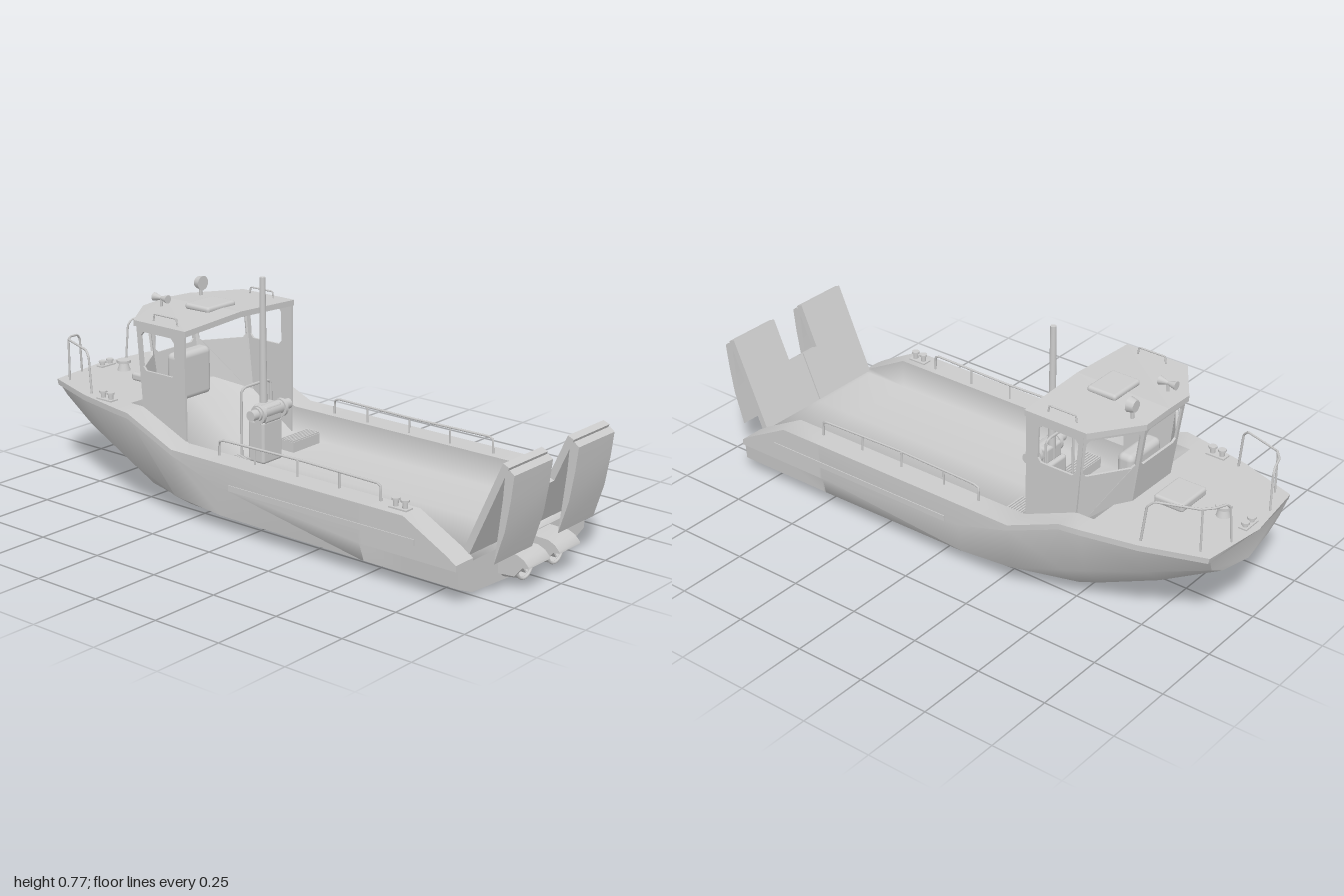
import * as THREE from 'three';
import { toCreasedNormals } from 'three/addons/utils/BufferGeometryUtils.js';
import { RoundedBoxGeometry } from 'three/addons/geometries/RoundedBoxGeometry.js';

const mat = new THREE.MeshStandardMaterial({ color: 0xcccccc, side: THREE.DoubleSide });
const V = (x, y, z) => new THREE.Vector3(x, y, z);

export function createModel() {
  const root = new THREE.Group();
  const add = (name, geo, x = 0, y = 0, z = 0) => {
    const m = new THREE.Mesh(geo, mat);
    m.name = name;
    m.position.set(x, y, z);
    root.add(m);
    return m;
  };
  const box = (name, w, h, d, x, y, z) => add(name, new THREE.BoxGeometry(w, h, d), x, y, z);
  const soft = (name, w, h, d, x, y, z, r = 0.01) => add(name, new RoundedBoxGeometry(w, h, d, 3, r), x, y, z);
  const post = (name, r0, r1, h, x, y, z, n = 16) => add(name, new THREE.CylinderGeometry(r1, r0, h, n), x, y + h / 2, z);
  const shape = pts => new THREE.Shape(pts.map(p => new THREE.Vector2(...p)));
  const tube = (name, pts, r = 0.004) => {
    const path = new THREE.CurvePath();
    for (let i = 1; i < pts.length; i++) path.add(new THREE.LineCurve3(pts[i - 1], pts[i]));
    return add(name, new THREE.TubeGeometry(path, (pts.length - 1) * 8, r, 6));
  };
  // Side profile (z, y) swept across x, ending at xMax
  const sweep = (name, pts, width, xMax) => {
    const g = new THREE.ExtrudeGeometry(shape(pts), { depth: width, bevelEnabled: false }).rotateY(-Math.PI / 2);
    return add(name, toCreasedNormals(g, 0.7), xMax);
  };

  // Flat panel on four corners (seen from outside: bottom left, bottom right, top right, top left)
  const panel = (name, a, b, c, d, t, hole) => {
    const s = shape([[0, 0], [1, 0], [1, 1], [0, 1]]);
    if (hole) {
      const [u0, v0, u1, v1] = hole, k = 0.06, q = 0.03;
      s.holes.push(new THREE.Path([[u0 + k, v0], [u0, v0 + q], [u0, v1 - q], [u0 + k, v1], [u1 - k, v1], [u1, v1 - q],
        [u1, v0 + q], [u1 - k, v0]].map(p => new THREE.Vector2(...p))));
    }
    const g = new THREE.ExtrudeGeometry(s, { depth: 1, bevelEnabled: false });
    const n = b.clone().sub(a).cross(d.clone().sub(a)).normalize();
    const p = g.attributes.position;
    for (let i = 0; i < p.count; i++) {
      const u = p.getX(i), v = p.getY(i), w = p.getZ(i);
      const r = a.clone().lerp(b, u).lerp(d.clone().lerp(c, u), v).addScaledVector(n, t * (w - 1));
      p.setXYZ(i, r.x, r.y, r.z);
    }
    g.computeVertexNormals();
    return add(name, g);
  };

  // Hull stations: z, keel y, bottom chine x y, upper chine x y, step x y, gunwale x, deck y, well x, floor y
  const stations = [
    [0.86, 0.004, 0.27, 0.02, 0.34, 0.05, 0.345, 0.11, 0.355, 0.13, 0.268, 0.122],
    [0.82, 0.002, 0.27, 0.02, 0.34, 0.05, 0.345, 0.11, 0.355, 0.155, 0.268, 0.135],
    [0.66, 0, 0.27, 0.02, 0.34, 0.05, 0.345, 0.11, 0.355, 0.24, 0.268, 0.135],
    [0.5, 0, 0.27, 0.02, 0.34, 0.05, 0.345, 0.11, 0.355, 0.24, 0.268, 0.135],
    [0.49, 0, 0.27, 0.02, 0.34, 0.05, 0.352, 0.11, 0.355, 0.24, 0.268, 0.135],
    [-0.1, 0, 0.27, 0.022, 0.34, 0.055, 0.352, 0.16, 0.355, 0.24, 0.268, 0.135],
    [-0.3, 0, 0.265, 0.026, 0.34, 0.075, 0.35, 0.22, 0.355, 0.24, 0.268, 0.14],
    [-0.5, 0.005, 0.235, 0.045, 0.327, 0.14, 0.348, 0.305, 0.355, 0.325, 0.268, 0.275],
    [-0.57, 0.03, 0.22, 0.065, 0.315, 0.16, 0.335, 0.305, 0.343, 0.325, 0.266, 0.325],
    [-0.76, 0.095, 0.175, 0.13, 0.268, 0.21, 0.293, 0.305, 0.302, 0.325, 0.22, 0.325],
    [-0.97, 0.21, 0.13, 0.225, 0.195, 0.26, 0.22, 0.305, 0.23, 0.325, 0.15, 0.325],
  ];
  const bowZ = (x, y) => -0.94 - 0.03 * (1 - Math.abs(x) / 0.23) - 0.03 * (y - 0.21) / 0.115;
  const rings = stations.map(([z, k, ax, ay, bx, by, sx, sy, gx, dy, ix, fy], i) => {
    const half = [[ax, ay], [bx, by], [sx, sy], [gx, sy], [gx, dy], [ix, dy], [ix, fy]];
    const ring = [[0, k], ...half, [0, fy], ...half.map(([x, y]) => [-x, y]).reverse()];
    return ring.map(([x, y]) => V(x, y, i === stations.length - 1 ? bowZ(x, y) : z));
  });
  // Skin ring points j0..j1 between stations i0..i1
  const skin = (name, i0, i1, j0, j1, crease) => {
    const pos = [];
    for (let i = i0; i < i1; i++) {
      for (let j = j0; j < j1; j++) {
        const [r, q] = [rings[i], rings[i + 1]], a = j % r.length, b = (j + 1) % r.length;
        for (const p of [r[a], q[a], r[b], r[b], q[a], q[b]]) pos.push(p.x, p.y, p.z);
      }
    }
    const g = new THREE.BufferGeometry();
    g.setAttribute('position', new THREE.Float32BufferAttribute(pos, 3));
    add(name, toCreasedNormals(g, crease));
  };
  skin('cargoWell', 0, 8, 6, 10, 1.6);
  skin('foredeck', 8, 10, 6, 10, 0.5);
  skin('hull', 0, 10, 10, 22, 1.0);
  const cap = ring => new THREE.ShapeGeometry(shape(ring.map(p => [p.x, p.y])));
  add('transom', cap(rings[0]), 0, 0, 0.86);
  const bow = cap(rings.at(-1)), bp = bow.attributes.position;
  for (let i = 0; i < bp.count; i++) bp.setZ(i, bowZ(bp.getX(i), bp.getY(i)));
  bow.computeVertexNormals();
  add('bowPlate', bow);

  // Cabin walls, open at the rear; the sides run down into the well
  const low = [[0.272, -0.31], [0.272, -0.49], [0.105, -0.59], [-0.105, -0.59], [-0.272, -0.49], [-0.272, -0.31]];
  const high = [[0.272, -0.31], [0.272, -0.53], [0.11, -0.645], [-0.11, -0.645], [-0.272, -0.53], [-0.272, -0.31]];
  const windows = [[0.22, 0.92], [0.06, 0.94], [0.06, 0.94], [0.06, 0.94], [0.08, 0.78]];
  windows.forEach(([u0, u1], i) => {
    const [a, b, c, d] = [low[i], low[i + 1], high[i + 1], high[i]];
    const y0 = i % 4 ? 0.24 : 0.14, y1 = 0.613, v = y => (y - y0) / (y1 - y0);
    panel('cabinWall', V(a[0], y0, a[1]), V(b[0], y0, b[1]), V(c[0], y1, c[1]), V(d[0], y1, d[1]), 0.008,
      [u0, v(0.455), u1, v(0.588)]);
  });
  // Cambered roof in two halves
  for (const s of [1, -1]) {
    const outline = [[0, -0.305], [0.274, -0.305], [0.274, -0.54], [0.115, -0.652], [0, -0.655]];
    const g = new THREE.ExtrudeGeometry(shape(outline.map(([x, z]) => [s * x, -z])), { depth: 0.02, bevelEnabled: false });
    g.rotateX(-Math.PI / 2);
    const p = g.attributes.position;
    for (let i = 0; i < p.count; i++) {
      p.setY(i, p.getY(i) + 0.616 - 0.05 * Math.abs(p.getX(i)) - (p.getZ(i) < -0.6 ? 0.009 : 0));
    }
    g.computeVertexNormals();
    add('cabinRoof', g);
    tube('roofRail', [V(s * 0.24, 0.62, -0.37), V(s * 0.24, 0.647, -0.375), V(s * 0.24, 0.647, -0.475), V(s * 0.24, 0.62, -0.48)], 0.003);
  }
  soft('roofHatch', 0.14, 0.022, 0.11, 0, 0.636, -0.445);
  soft('console', 0.17, 0.17, 0.06, 0, 0.375, -0.55, 0.02);

  // Searchlight and horn on the roof
  add('searchlight', new THREE.CylinderGeometry(0.026, 0.02, 0.025, 10).rotateX(Math.PI / 2), 0.112, 0.668, -0.595);
  post('searchlightStand', 0.006, 0.006, 0.035, 0.112, 0.615, -0.595, 8);
  for (const s of [1, -1]) {
    add('horn', new THREE.CylinderGeometry(0.015, 0.006, 0.032, 12).rotateX(s * Math.PI / 2), -0.092, 0.654, -0.587 + s * 0.016);
  }
  post('hornStand', 0.005, 0.005, 0.03, -0.092, 0.622, -0.587, 8);

  // Winch, pedestal, mast and grated lockers
  soft('winchPedestal', 0.1, 0.15, 0.07, 0, 0.21, -0.2);
  const across = (name, r, w, x, y, z) => add(name, new THREE.CylinderGeometry(r, r, w, 20).rotateZ(Math.PI / 2), x, y, z);
  across('winchDrum', 0.024, 0.14, 0, 0.316, -0.18);
  for (const s of [1, -1]) {
    across('winchFlange', 0.032, 0.012, s * 0.055, 0.312, -0.18);
    across('winchHead', 0.018, 0.03, s * 0.082, 0.316, -0.18);
    box('deckLocker', 0.14, 0.04, 0.06, s * 0.18, 0.153, -0.2);
    for (let i = 0; i < 6; i++) box('lockerGrate', 0.14, 0.006, 0.005, s * 0.18, 0.175, -0.225 + i * 0.01);
  }
  soft('winchMotor', 0.085, 0.06, 0.06, 0, 0.308, -0.19);
  tube('winchGuard', [V(-0.075, 0.13, -0.24), V(-0.075, 0.385, -0.24), V(-0.06, 0.397, -0.24), V(0.06, 0.397, -0.24),
    V(0.075, 0.385, -0.24), V(0.075, 0.13, -0.24)], 0.005);
  post('mast', 0.014, 0.01, 0.49, 0, 0.28, -0.208);

  // Mirrored side fittings
  for (const s of [1, -1]) {
    const x = s * 0.295;
    tube('sideRail', [V(x, 0.24, 0.53), V(x, 0.288, 0.528), V(x, 0.295, 0.515), V(x - s * 0.01, 0.295, 0.2), V(x, 0.295, -0.12),
      V(x, 0.288, -0.138), V(x, 0.24, -0.14)]);
    for (const z of [0.36, 0.19, 0.01]) post('sideRailPost', 0.0035, 0.0035, 0.055, x - s * 0.006, 0.24, z, 6);
    tube('bowRail', [V(s * 0.275, 0.32, -0.75), V(s * 0.27, 0.45, -0.765), V(s * 0.262, 0.47, -0.785), V(s * 0.215, 0.473, -0.92),
      V(s * 0.18, 0.472, -0.95), V(s * 0.135, 0.467, -0.962), V(s * 0.12, 0.45, -0.966), V(s * 0.11, 0.32, -0.97)]);
    post('bowRailPost', 0.004, 0.004, 0.155, s * 0.212, 0.32, -0.925, 6);
    box('rubStrake', 0.01, 0.02, 0.75, s * 0.353, 0.165, 0.33);
  }

  // Bollards, capstan and foredeck hatch
  const bollard = (x, y, z, h) => {
    post('bollard', 0.009, 0.009, h, x, y, z, 12);
    post('bollardCap', 0.014, 0.014, 0.007, x, y + h, z, 12);
  };
  for (const d of [-0.018, 0.018]) {
    bollard(-0.29, 0.325, -0.66 + d, 0.022);
    bollard(-0.308, 0.24, 0.615 + d, 0.025);
    bollard(d, 0.325, -0.96, 0.014);
  }
  box('bollardBase', 0.035, 0.006, 0.07, -0.29, 0.327, -0.66);
  box('bollardBase', 0.035, 0.006, 0.07, -0.308, 0.242, 0.615);
  box('bollardBase', 0.07, 0.006, 0.03, 0, 0.327, -0.96);
  post('capstan', 0.024, 0.014, 0.03, 0, 0.325, -0.87);
  post('capstanHead', 0.026, 0.026, 0.01, 0, 0.353, -0.87);
  soft('foredeckHatch', 0.14, 0.03, 0.11, 0, 0.337, -0.71);

  // Raised stern ramp: notched inner leaf and a folded outer flap on each side
  const zr = y => 0.845 + (y - 0.135) * 0.445;
  const rampPart = (x0, x1, y0, y1) => panel('sternRamp', V(x0, y0, zr(y0)), V(x1, y0, zr(y0)), V(x1, y1, zr(y1)), V(x0, y1, zr(y1)), 0.024);
  const flap = [[0.936, 0.128], [0.972, 0.24], [0.99, 0.34], [1, 0.42], [0.982, 0.434], [0.968, 0.425], [0.962, 0.34], [0.95, 0.24]];
  const cowl = [[0.855, 0.078], [0.95, 0.08], [0.974, 0.083], [0.972, 0.09], [0.955, 0.107], [0.93, 0.118], [0.855, 0.12]];
  for (const s of [1, -1]) {
    const span = (a, b) => (s > 0 ? [a, b] : [-b, -a]);
    rampPart(...span(0.002, 0.27), 0.135, 0.295);
    rampPart(...span(0.07, 0.27), 0.295, 0.44);
    sweep('rampFlap', flap, 0.2, s > 0 ? 0.27 : -0.07);

    // Water jet with a sloping cowl
    const x = s * 0.083;
    add('jetNozzle', new THREE.CylinderGeometry(0.042, 0.052, 0.07, 20, 1, true).rotateX(Math.PI / 2), x, 0.066, 0.885);
    add('jetRing', new THREE.TorusGeometry(0.042, 0.005, 8, 24), x, 0.066, 0.92);
    add('jetHub', new THREE.ConeGeometry(0.016, 0.09, 12).rotateX(Math.PI / 2), x, 0.066, 0.905);
    for (let i = 0; i < 5; i++) {
      const blade = new THREE.BoxGeometry(0.005, 0.04, 0.04).translate(0, 0.022, 0).rotateZ(i * Math.PI * 0.4);
      add('jetBlade', blade, x, 0.066, 0.89);
    }
    sweep('jetCowl', cowl, 0.115, x + 0.0575);
    const bracket = [[0.855, 0.04], [0.92, 0.045], [0.95, 0.08], [0.855, 0.08]];
    for (const e of [1, -1]) sweep('jetBracket', bracket, 0.008, x + e * 0.05 + 0.004);
  }
  return root;
}
